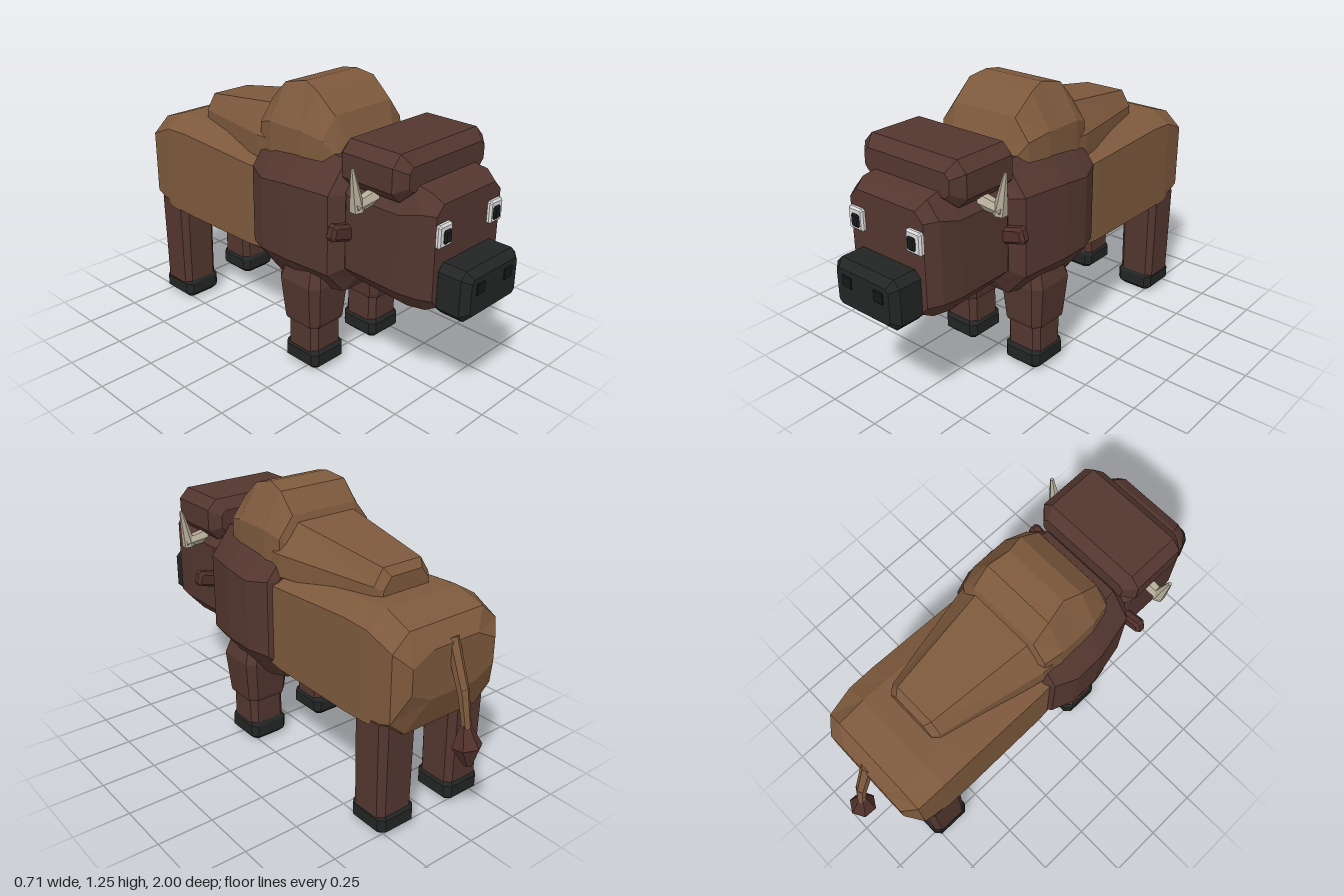
import * as THREE from 'three';

const material = (name, color) => {
  const m = new THREE.MeshStandardMaterial({ color, flatShading: true });
  m.name = name;
  return m;
};

// Octagonal loft along z (or y when upright).
// Section: [t, low, high, halfWidth, chamferX, chamferLow, chamferHigh]
function loft(sections, upright = false) {
  const pos = [], index = [];
  const put = (u, v, t) => (upright ? pos.push(u, t, -v) : pos.push(u, v, t));
  for (const [t, lo, hi, w, cx, cl, ch = cl] of sections) {
    put(w - cx, lo, t); put(w, lo + cl, t); put(w, hi - ch, t); put(w - cx, hi, t);
    put(cx - w, hi, t); put(-w, hi - ch, t); put(-w, lo + cl, t); put(cx - w, lo, t);
  }
  const last = (sections.length - 1) * 8;
  for (let r = 0; r < last; r += 8) {
    for (let i = 0; i < 8; i++) {
      const a = r + i, b = r + (i + 1) % 8;
      index.push(a, b, b + 8, a, b + 8, a + 8);
    }
  }
  for (let i = 1; i < 7; i++) {
    index.push(0, i + 1, i, last, last + i, last + i + 1);
  }
  const g = new THREE.BufferGeometry();
  g.setAttribute('position', new THREE.Float32BufferAttribute(pos, 3));
  g.setIndex(index);
  const flat = g.toNonIndexed();
  flat.computeVertexNormals();
  return flat;
}

// Box with chamfered edges, centred on the origin
function chamferBox(w, h, d, c) {
  const x = w / 2, y = h / 2, z = d / 2;
  return loft([
    [-z, -y + c, y - c, x - c, c * 0.5, c * 0.5],
    [-z + c, -y, y, x, c, c],
    [z - c, -y, y, x, c, c],
    [z, -y + c, y - c, x - c, c * 0.5, c * 0.5],
  ]);
}

// Tapered rod between two points
function rod(a, b, r0, r1, sides = 6) {
  const from = new THREE.Vector3(...a), to = new THREE.Vector3(...b);
  const dir = to.clone().sub(from);
  const g = new THREE.CylinderGeometry(r1, r0, dir.length(), sides);
  g.applyQuaternion(new THREE.Quaternion().setFromUnitVectors(
    new THREE.Vector3(0, 1, 0), dir.clone().normalize()));
  const mid = from.add(to).multiplyScalar(0.5);
  return g.translate(mid.x, mid.y, mid.z);
}

export function createModel() {
  const group = new THREE.Group();
  const hide = material('tan hide', 0x7d593c);
  const mane = material('dark mane', 0x53362f);
  const tuftHair = material('reddish hair', 0x50302a);
  const black = material('black hoof and nose', 0x232525);
  const pupilBlack = material('pupil', 0x161819);
  const horn = material('horn', 0xb5ac98);
  const white = material('eye white', 0xdcdcdc);

  const add = (name, geometry, mat, x = 0, y = 0, z = 0) => {
    const mesh = new THREE.Mesh(geometry, mat);
    mesh.name = name;
    mesh.position.set(x, y, z);
    group.add(mesh);
    return mesh;
  };

  // Barrel and hindquarters
  add('body', loft([
    [-0.845, 0.62, 0.83, 0.22, 0.1, 0.05],
    [-0.79, 0.47, 0.905, 0.275, 0.08, 0.07],
    [-0.66, 0.425, 0.95, 0.288, 0.1, 0.07, 0.06],
    [-0.53, 0.42, 0.945, 0.288, 0.1, 0.07, 0.05],
    [-0.1, 0.42, 0.92, 0.285, 0.1, 0.07, 0.05],
    [0.1, 0.43, 0.9, 0.27, 0.1, 0.07, 0.05],
  ]), hide);

  // Sloping back behind the hump
  add('backRidge', loft([
    [-0.565, 0.88, 1.02, 0.12, 0.04, 0.02, 0.05],
    [-0.535, 0.88, 1.052, 0.145, 0.045, 0.02, 0.07],
    [-0.06, 0.88, 1.12, 0.25, 0.1, 0.02, 0.12],
    [0.02, 0.88, 1.12, 0.25, 0.1, 0.02, 0.12],
  ]), hide);

  // Shoulder hump
  add('hump', loft([
    [-0.075, 0.9, 1.08, 0.2, 0.06, 0.02, 0.06],
    [-0.05, 0.9, 1.15, 0.24, 0.07, 0.02, 0.09],
    [0.03, 0.9, 1.235, 0.26, 0.09, 0.02, 0.15],
    [0.13, 0.9, 1.255, 0.26, 0.11, 0.02, 0.17],
    [0.21, 0.9, 1.235, 0.26, 0.09, 0.02, 0.15],
    [0.31, 0.9, 1.15, 0.235, 0.07, 0.02, 0.09],
    [0.36, 0.9, 1.03, 0.19, 0.06, 0.02, 0.05],
  ]), hide);

  // Shaggy shoulders
  add('chestMane', loft([
    [-0.065, 0.42, 0.98, 0.26, 0.08, 0.1],
    [-0.04, 0.4, 1.0, 0.3, 0.1, 0.13, 0.12],
    [0.06, 0.38, 1.015, 0.34, 0.12, 0.16, 0.15],
    [0.2, 0.38, 1.03, 0.34, 0.12, 0.16, 0.15],
    [0.4, 0.41, 1.0, 0.295, 0.1, 0.11, 0.13],
    [0.445, 0.48, 0.94, 0.24, 0.08, 0.07, 0.07],
  ]), mane);

  // Head, forelock and beard
  add('head', loft([
    [0.4, 0.52, 0.95, 0.21, 0.06, 0.06],
    [0.46, 0.48, 0.98, 0.25, 0.08, 0.08, 0.1],
    [0.72, 0.465, 0.99, 0.25, 0.08, 0.09, 0.11],
    [0.81, 0.485, 0.975, 0.235, 0.06, 0.07],
    [0.86, 0.51, 0.94, 0.2, 0.04, 0.04],
  ]), mane);
  add('forelock', chamferBox(0.55, 0.19, 0.34, 0.045), mane, 0, 1.015, 0.58);
  add('beard', loft([
    [0.4, -0.02, 0.02, 0.03, 0.01, 0.01],
    [0.43, -0.045, 0.045, 0.05, 0.015, 0.015],
    [0.5, -0.055, 0.055, 0.065, 0.02, 0.02],
  ], true), tuftHair, 0, 0, 0.665);

  // Muzzle
  add('muzzle', chamferBox(0.35, 0.215, 0.165, 0.03), black, 0, 0.593, 0.915);

  for (const s of [1, -1]) {
    // Nostrils and eyes
    add('nostril', chamferBox(0.054, 0.05, 0.009, 0.003), pupilBlack, s * 0.088, 0.622, 0.997);
    add('eyeWhite', chamferBox(0.08, 0.096, 0.03, 0.008), white, s * 0.16, 0.82, 0.863);
    add('pupil', chamferBox(0.042, 0.056, 0.016, 0.007), pupilBlack, s * 0.155, 0.817, 0.88);

    // Horns: outward base, then an upward point
    add('hornBase', rod([s * 0.2, 0.91, 0.575], [s * 0.335, 0.892, 0.575], 0.034, 0.026), horn);
    add('hornTip', rod([s * 0.315, 0.875, 0.575], [s * 0.346, 1.045, 0.575], 0.031, 0.008), horn);

    // Ears
    const ear = add('ear', chamferBox(0.13, 0.07, 0.05, 0.013), tuftHair, s * 0.285, 0.735, 0.463);
    ear.rotation.z = s * 0.28;

    // Front legs
    add('frontUpperLeg', loft([
      [0.22, -0.1, 0.1, 0.098, 0.03, 0.03],
      [0.235, -0.105, 0.105, 0.1, 0.03, 0.03],
      [0.42, -0.12, 0.12, 0.118, 0.035, 0.035],
      [0.5, -0.1, 0.1, 0.09, 0.03, 0.03],
    ], true), mane, s * 0.19, 0, 0.22);
    add('frontLowerLeg', loft([
      [0.05, -0.088, 0.088, 0.088, 0.025, 0.025],
      [0.26, -0.088, 0.088, 0.088, 0.025, 0.025],
    ], true), mane, s * 0.188, 0, 0.22);

    // Hind legs
    add('hindLeg', loft([
      [0.05, -0.09, 0.09, 0.09, 0.025, 0.025],
      [0.52, -0.095, 0.095, 0.095, 0.028, 0.028],
      [0.545, -0.07, 0.07, 0.07, 0.02, 0.02],
    ], true), mane, s * 0.19, 0, -0.675);

    // Hooves
    for (const z of [0.22, -0.675]) {
      add('hoof', loft([
        [0, -0.075, 0.075, 0.07, 0.015, 0.015],
        [0.025, -0.1, 0.1, 0.096, 0.025, 0.025],
        [0.08, -0.1, 0.1, 0.096, 0.025, 0.025],
        [0.102, -0.085, 0.085, 0.08, 0.02, 0.02],
      ], true), black, s * 0.187, 0, z);
    }
  }

  // Tail and its tuft
  add('tailUpper', rod([0, 0.84, -0.82], [0, 0.63, -0.9], 0.029, 0.025), hide);
  add('tailLower', rod([0, 0.65, -0.895], [0, 0.48, -0.93], 0.025, 0.019), hide);
  add('tailTuftTop', rod([0, 0.415, -0.936], [0, 0.51, -0.918], 0.062, 0.018), tuftHair);
  add('tailTuftTip', rod([0, 0.415, -0.936], [0, 0.335, -0.95], 0.062, 0.018), tuftHair);

  return group;
}
